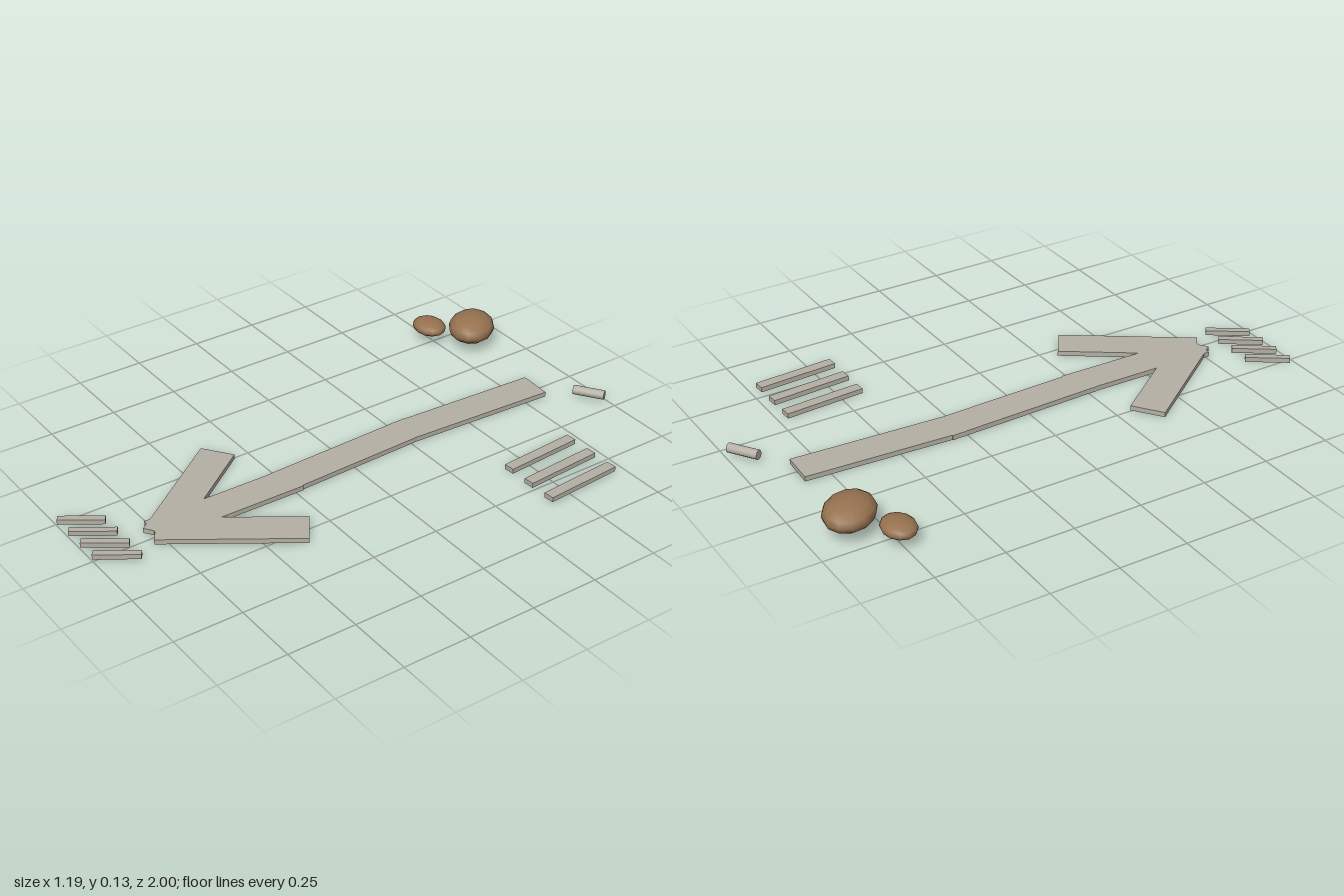
import * as THREE from 'three';

export function createModel() {
  const model = new THREE.Group();
  const stone = new THREE.MeshStandardMaterial({ name: 'paleStone', color: 0xb4b0a4 });
  const brown = new THREE.MeshStandardMaterial({ name: 'brownRock', color: 0x967250 });
  const thickness = 0.018;

  // Flat bar lying on the ground between two points given as [x, z]
  function bar(name, [x1, z1], [x2, z2], width) {
    const length = Math.hypot(x2 - x1, z2 - z1);
    const mesh = new THREE.Mesh(new THREE.BoxGeometry(width, thickness, length), stone);
    mesh.name = name;
    mesh.position.set((x1 + x2) / 2, thickness / 2, (z1 + z2) / 2);
    mesh.rotation.y = Math.atan2(x2 - x1, z2 - z1);
    model.add(mesh);
  }

  // Arrow: slightly crooked shaft and two head strokes
  bar('shaftBack', [-0.005, -0.84], [-0.034, -0.25], 0.124);
  bar('shaftMiddle', [-0.034, -0.31], [-0.012, 0.28], 0.124);
  bar('shaftFront', [-0.01, 0.22], [-0.016, 0.765], 0.124);
  bar('headRight', [-0.295, 0.345], [0.006, 0.751], 0.125);
  bar('headLeft', [0.263, 0.34], [-0.02, 0.756], 0.125);

  // Three tally strokes beside the shaft
  for (let i = 0; i < 3; i++) {
    const x = 0.341 + i * 0.105;
    bar('tallyStroke', [x, -0.716], [x + 0.021, -0.419], 0.04);
  }

  // Four slanted hatch strokes beyond the tip
  for (let i = 0; i < 4; i++) {
    const x = -0.169 + i * 0.079;
    bar('hatchStroke', [x, 0.858], [x - 0.09, 0.99], 0.025);
  }

  // Short chalk stick lying down
  const chalk = new THREE.Mesh(new THREE.CylinderGeometry(0.017, 0.017, 0.115, 12), stone);
  chalk.name = 'chalkStick';
  chalk.rotation.set(0, 0.6, Math.PI / 2);
  chalk.position.set(0.163, 0.03, -0.952);
  model.add(chalk);

  // Two flattened pebbles
  function pebble(name, position, radii, turn) {
    const mesh = new THREE.Mesh(new THREE.SphereGeometry(1, 12, 8), brown);
    mesh.name = name;
    mesh.position.set(...position);
    mesh.scale.set(...radii);
    mesh.rotation.y = turn;
    model.add(mesh);
  }
  pebble('largePebble', [-0.4, 0.077, -0.852], [0.107, 0.049, 0.086], -0.8);
  pebble('smallPebble', [-0.524, 0.055, -0.747], [0.071, 0.028, 0.058], 0);

  return model;
}
